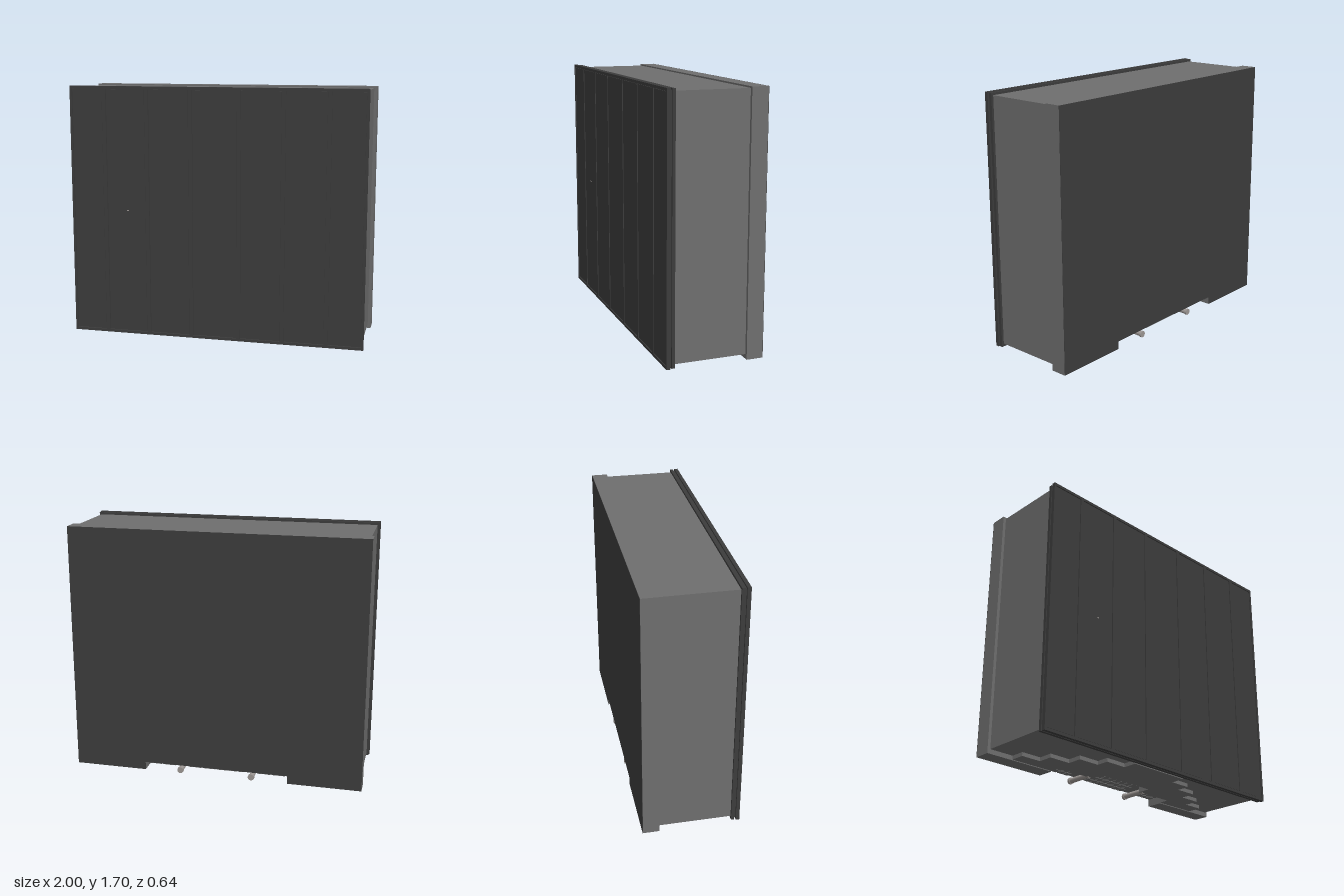
import * as THREE from 'three';

const material = (name, color, side = THREE.FrontSide) => {
  const m = new THREE.MeshStandardMaterial({ color, side });
  m.name = name;
  return m;
};

export function createModel() {
  const model = new THREE.Group();
  model.name = 'wallCabinet';
  const casing = material('casing grey', 0x6e6e6e);
  const dark = material('panel charcoal', 0x3c3c3c);
  const metal = material('rod metal', 0x9c9693);

  const add = (name, geometry, mat, parent = model) => {
    const mesh = new THREE.Mesh(geometry, mat);
    mesh.name = name;
    parent.add(mesh);
    return mesh;
  };
  // Box given by its limits on each axis
  const box = (name, mat, [x0, x1], [y0, y1], [z0, z1], parent) => {
    const g = new THREE.BoxGeometry(x1 - x0, y1 - y0, z1 - z0);
    g.translate((x0 + x1) / 2, (y0 + y1) / 2, (z0 + z1) / 2);
    return add(name, g, mat, parent);
  };
  const outline = (pts) => new THREE.Shape(pts.map(([a, b]) => new THREE.Vector2(a, b)));
  const mirrored = (half) => [...half, ...half.map(([a, b]) => [-a, b]).reverse()];
  // Upright prism from a half outline in (x, z)
  const slab = (name, half, y0, y1) => {
    const shape = outline(mirrored(half).map(([x, z]) => [x, -z]));
    const g = new THREE.ExtrudeGeometry(shape, { depth: y1 - y0, bevelEnabled: false });
    g.rotateX(-Math.PI / 2).translate(0, y0, 0);
    return add(name, g, casing);
  };

  // Main casing, with a stepped connector recess in its underside
  const notch = [[0.22, -0.05], [0.22, -0.14], [0.5, -0.14], [0.5, -0.21]];
  box('body', casing, [-0.98, 0.98], [0.06, 1.685], [-0.21, 0.265]);
  slab('bodyLowerEdge', [...notch, [0.98, -0.21], [0.98, 0.265]], 0.035, 0.06);

  // Staircase-edged base plate
  const stepX = [0.81, 0.67, 0.52, 0.37, 0.22];
  const stepZ = [-0.21, -0.115, -0.015, 0.085, 0.17, 0.264];
  const stairs = stepX.flatMap((x, i) => [[x, stepZ[i]], [x, stepZ[i + 1]]]);
  slab('basePlate', [...notch, ...stairs], 0.01, 0.035);

  // Rear housing and its dark cover, cut out at the bottom
  const rear = outline(mirrored([[0.5, 0.06], [0.5, 0.005], [1, 0.005], [1, 1.695]]));
  const plate = (name, mat, z0, z1) => {
    const g = new THREE.ExtrudeGeometry(rear, { depth: z1 - z0, bevelEnabled: false });
    add(name, g.translate(0, 0, z0), mat);
  };
  plate('rearHousing', casing, -0.318, -0.21);
  plate('rearCover', dark, -0.32, -0.318);

  // Front frame: two layers with a narrow groove around the edge
  const front = new THREE.Group();
  front.name = 'frontFrame';
  model.add(front);
  box('frameBack', dark, [-0.995, 0.995], [0.015, 1.7], [0.265, 0.285], front);
  box('frameGroove', dark, [-0.985, 0.985], [0.024, 1.692], [0.285, 0.296], front);
  box('frameFront', dark, [-0.998, 0.998], [0.012, 1.703], [0.296, 0.308], front);

  // Raised border and dividers around seven inset panels
  const bars = [[-0.998, -0.983], [-0.77, -0.745], [-0.475, -0.45], [-0.175, -0.15],
    [0.15, 0.175], [0.445, 0.47], [0.74, 0.765], [0.983, 0.998]];
  bars.forEach((bar, i) => {
    box('frontDivider', dark, bar, [0.03, 1.685], [0.308, 0.32], front);
    if (i < bars.length - 1) {
      box('frontPanel', dark, [bar[1] + 0.003, bars[i + 1][0] - 0.003], [0.033, 1.682], [0.308, 0.316], front);
    }
  });
  box('bottomRail', dark, [-0.998, 0.998], [0.012, 0.03], [0.308, 0.32], front);
  box('topRail', dark, [-0.998, 0.998], [1.685, 1.703], [0.308, 0.32], front);
  box('indicator', metal, [-0.607, -0.595], [0.869, 0.875], [0.316, 0.318], front);

  // Connector blocks inside the recess
  const ports = new THREE.Group();
  ports.name = 'connectors';
  model.add(ports);
  const portGrid = (x0, x1, z0, z1, cols, rows) => {
    const dx = (x1 - x0) / cols, dz = (z1 - z0) / rows;
    for (let c = 0; c < cols; c++) {
      for (let r = 0; r < rows; r++) {
        const x = x0 + c * dx, z = z0 + r * dz;
        box('connector', casing, [x + 0.004, x + dx - 0.004], [0.046, 0.061], [z + 0.004, z + dz - 0.004], ports);
      }
    }
  };
  portGrid(-0.2, 0.2, -0.3, -0.07, 8, 4);
  for (const s of [-1, 1]) portGrid(s * 0.385 - 0.1, s * 0.385 + 0.1, -0.3, -0.15, 4, 3);

  // Pair of rods lying in the recess
  for (const s of [-1, 1]) {
    const rod = (name, r, z0, z1) => {
      const g = new THREE.CylinderGeometry(r, r, z1 - z0, 24);
      g.rotateX(Math.PI / 2).translate(s * 0.25, 0.022, (z0 + z1) / 2);
      add(name, g, metal);
    };
    rod('rod', 0.018, -0.3, -0.13);
    rod('rodHead', 0.022, -0.316, -0.3);
  }
  return model;
}
